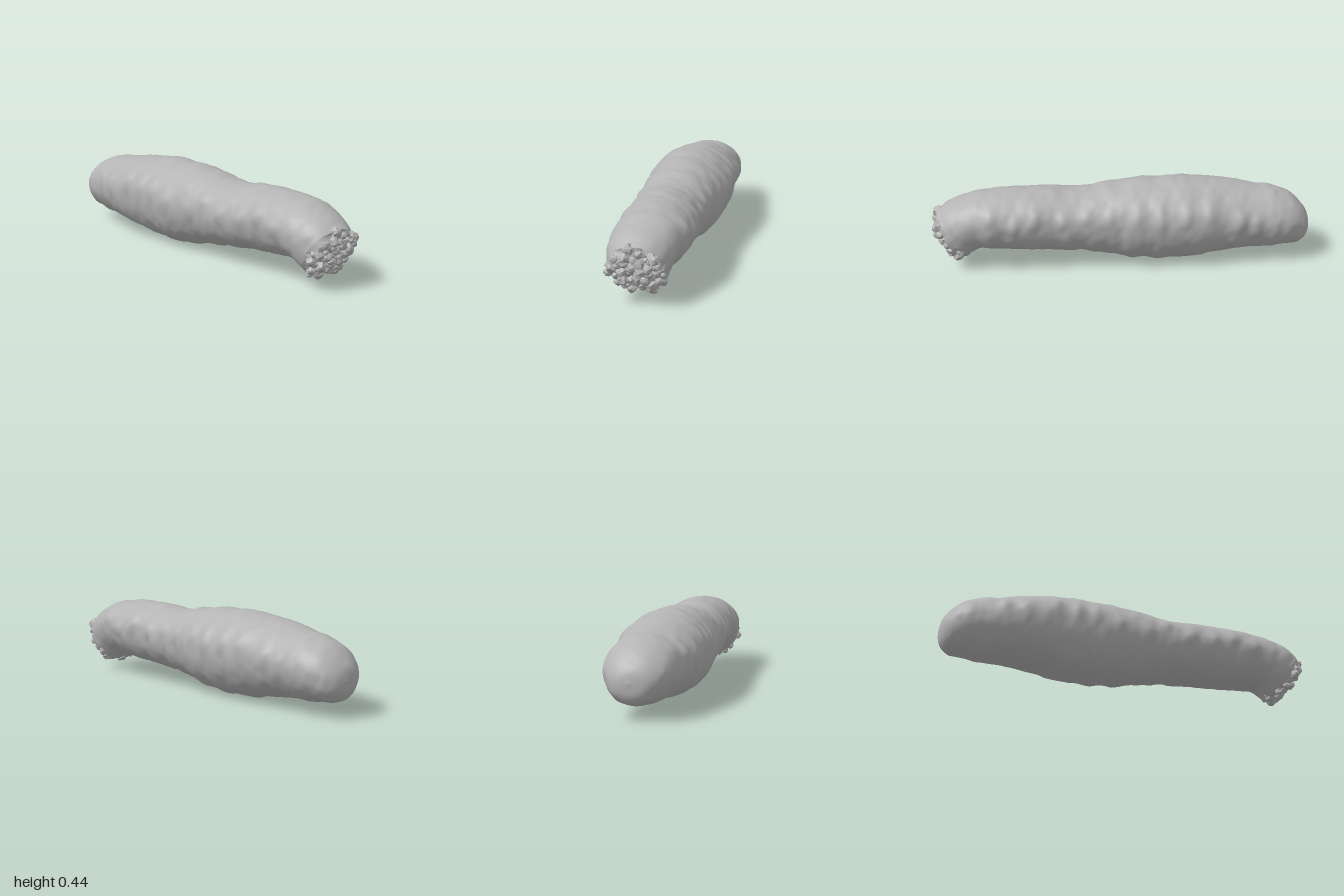
import * as THREE from 'three';
import { mergeGeometries } from 'three/addons/utils/BufferGeometryUtils.js';

// Smooth seeded value noise in -1..1
const hash = (x, y, z) => {
  const h = Math.sin(x * 127.1 + y * 311.7 + z * 74.7) * 43758.5453;
  return (h - Math.floor(h)) * 2 - 1;
};
function noise(x, y, z) {
  const i = [x, y, z].map(Math.floor);
  const f = [x - i[0], y - i[1], z - i[2]].map(t => t * t * (3 - 2 * t));
  let sum = 0;
  for (let k = 0; k < 8; k++) {
    const d = [k & 1, (k >> 1) & 1, k >> 2];
    const w = d.reduce((p, b, n) => p * (b ? f[n] : 1 - f[n]), 1);
    sum += w * hash(i[0] + d[0], i[1] + d[1], i[2] + d[2]);
  }
  return sum;
}

// Closed rings joined along their length
function loft(rows, segs, pointAt) {
  const pos = [], index = [];
  for (let i = 0; i <= rows; i++) {
    for (let j = 0; j < segs; j++) pos.push(...pointAt(i / rows, (j / segs) * Math.PI * 2));
  }
  for (let i = 0; i < rows; i++) {
    for (let j = 0; j < segs; j++) {
      const a = i * segs + j, b = i * segs + (j + 1) % segs;
      index.push(a, b, a + segs, b, b + segs, a + segs);
    }
  }
  const geo = new THREE.BufferGeometry();
  geo.setAttribute('position', new THREE.Float32BufferAttribute(pos, 3));
  geo.setIndex(index);
  geo.computeVertexNormals();
  return geo;
}

// Stations from the rounded tail to the torn end: zTop, zBottom, yTop, yBottom, xRight, xLeft
const stations = [
  [-1, -1, 0.18, 0.18, 0.02, 0.02],
  [-0.988, -0.988, 0.235, 0.115, -0.06, 0.08],
  [-0.955, -0.955, 0.285, 0.08, -0.115, 0.13],
  [-0.9, -0.9, 0.335, 0.062, -0.15, 0.163],
  [-0.8, -0.8, 0.37, 0.055, -0.172, 0.178],
  [-0.65, -0.65, 0.395, 0.045, -0.2, 0.185],
  [-0.5, -0.5, 0.422, 0.027, -0.217, 0.202],
  [-0.35, -0.35, 0.437, 0.012, -0.213, 0.215],
  [-0.2, -0.2, 0.436, 0.008, -0.215, 0.21],
  [-0.05, -0.05, 0.432, 0.02, -0.203, 0.203],
  [0.1, 0.1, 0.41, 0.05, -0.193, 0.184],
  [0.25, 0.25, 0.398, 0.068, -0.185, 0.183],
  [0.4, 0.4, 0.41, 0.08, -0.167, 0.185],
  [0.55, 0.55, 0.41, 0.095, -0.163, 0.192],
  [0.7, 0.66, 0.397, 0.105, -0.163, 0.185],
  [0.8, 0.72, 0.373, 0.098, -0.165, 0.168],
  [0.88, 0.755, 0.34, 0.075, -0.164, 0.158],
  [0.935, 0.78, 0.3, 0.052, -0.152, 0.147],
];
const rail = f => new THREE.CatmullRomCurve3(stations.map(s => new THREE.Vector3(...f(s))));
const topRail = rail(s => [0, s[2], s[0]]);
const bottomRail = rail(s => [0, s[3], s[1]]);
const widthRail = rail(s => [s[4], s[5], s[0]]);

// Knobs along both flanks: z, angle
const knobs = [];
for (let k = 0; k < 12; k++) {
  const z = -0.72 + k * 0.125;
  knobs.push([z + 0.03 * hash(k, 1, 0), 0.2 + 0.25 * hash(k, 2, 0)]);
  knobs.push([z + 0.03 * hash(k, 3, 0), Math.PI - 0.2 + 0.25 * hash(k, 4, 0)]);
}

function skinPoint(t, a) {
  const top = topRail.getPoint(t), bot = bottomRail.getPoint(t), w = widthRail.getPoint(t);
  const c = Math.cos(a), s = Math.sin(a);
  const mid = bot.y + (top.y - bot.y) * 0.55;
  const x = (w.x + w.y) / 2 + c * (w.y - w.x) / 2;
  const y = mid + s * (s > 0 ? top.y - mid : mid - bot.y);
  const z = bot.z + (top.z - bot.z) * (s + 1) / 2;
  // Soft wrinkles running around the body, finer grain and knobs
  let d = 0.006 * noise(x * 5, y * 5, z * 15) + 0.003 * noise(x * 22, y * 22, z * 30);
  for (const [kz, ka] of knobs) {
    const da = Math.atan2(Math.sin(a - ka), Math.cos(a - ka));
    d += 0.013 * Math.exp(-(((z - kz) / 0.032) ** 2) - (da / 0.28) ** 2);
  }
  d *= Math.min(1, t * 10);
  return [x + c * d, Math.max(0, y + s * d), z];
}

// Torn face: the last ring drawn in to its centre, bulging outward with rough grain
const endTop = topRail.getPoint(1), endBottom = bottomRail.getPoint(1);
const centre = new THREE.Vector3(0, (endTop.y + endBottom.y) / 2, (endTop.z + endBottom.z) / 2);
const out = new THREE.Vector3(0, -(endTop.z - endBottom.z), endTop.y - endBottom.y).normalize();
function tornPoint(t, a) {
  const r = 1 - t;
  const p = new THREE.Vector3(...skinPoint(1, a)).sub(centre).multiplyScalar(r).add(centre);
  const rise = 0.045 * Math.sqrt(1 - r ** 3);
  const rough = t === 0 ? 0 : 0.025 * noise(p.x * 28, p.y * 28, p.z * 28);
  p.addScaledVector(out, rise + rough);
  return [p.x, p.y, Math.min(1, p.z)];
}

// Broken lumps scattered over the torn face
function crumbs() {
  const list = [];
  for (let k = 0; k < 42; k++) {
    const a = k * 2.39996, r = Math.sqrt((k + 0.5) / 42) * 0.94;
    const size = 0.024 + 0.009 * hash(k, 7, 3);
    const p = new THREE.Vector3(...tornPoint(1 - r, a));
    const geo = new THREE.IcosahedronGeometry(size, 1);
    const v = geo.attributes.position;
    for (let i = 0; i < v.count; i++) {
      const q = new THREE.Vector3().fromBufferAttribute(v, i);
      q.multiplyScalar(1 + 0.4 * noise(q.x * 70 + k * 9, q.y * 70, q.z * 70)).add(p);
      v.setXYZ(i, q.x, Math.max(0.035, q.y), Math.min(1, q.z));
    }
    geo.computeVertexNormals();
    list.push(geo);
  }
  return mergeGeometries(list);
}

export function createModel() {
  const group = new THREE.Group();
  const grey = new THREE.MeshStandardMaterial({ color: 0xb4b4b4 });
  grey.name = 'grey';
  const add = (name, geo) => {
    const mesh = new THREE.Mesh(geo, grey);
    mesh.name = name;
    group.add(mesh);
  };
  add('body', loft(220, 80, skinPoint));
  const torn = loft(12, 44, tornPoint).toNonIndexed();
  torn.computeVertexNormals();
  add('tornEnd', torn);
  add('crumbs', crumbs());
  return group;
}
